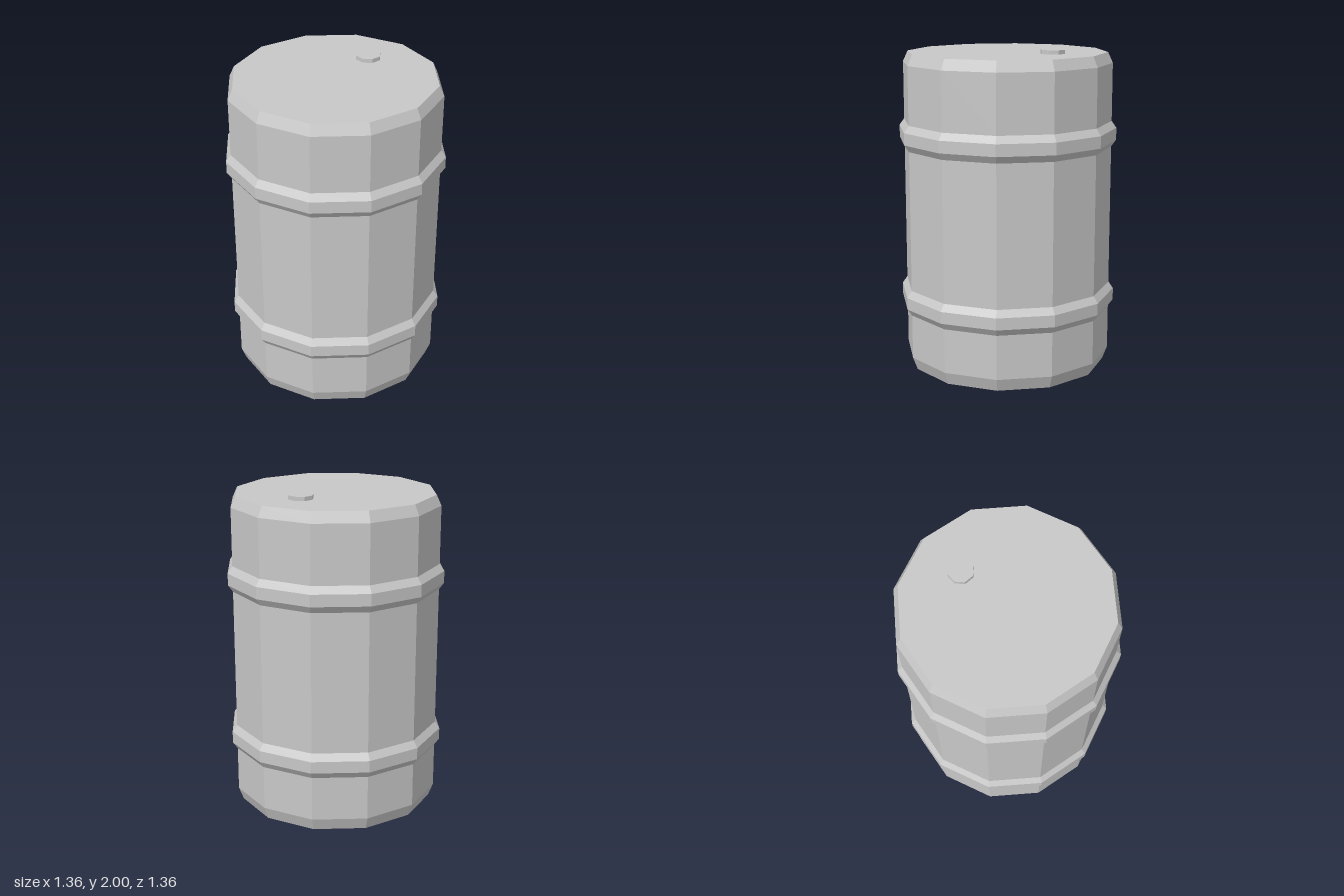
import * as THREE from 'three';

const SIDES = 12;

export function createModel() {
  const model = new THREE.Group();
  model.name = 'barrel';
  const metal = new THREE.MeshStandardMaterial({ color: 0xc8c8c8, flatShading: true });
  metal.name = 'grey metal';

  const add = (name, geometry, x = 0, y = 0, z = 0) => {
    const mesh = new THREE.Mesh(geometry, metal);
    mesh.name = name;
    mesh.position.set(x, y, z);
    model.add(mesh);
  };

  // Drum wall: chamfered ends and two raised hoops, as [radius, height]
  const hoop = (y) => [[0.65, y - 0.08], [0.68, y - 0.037], [0.68, y + 0.037], [0.65, y + 0.08]];
  const profile = [
    [0.62, 0], [0.65, 0.08],
    ...hoop(0.438), ...hoop(1.472),
    [0.65, 1.91], [0.62, 1.975],
  ].map(([r, y]) => new THREE.Vector2(r, y));
  add('drumWall', new THREE.LatheGeometry(profile, SIDES));

  // Flat ends, with corners lined up with the wall
  const lid = new THREE.CircleGeometry(0.62, SIDES).rotateX(-Math.PI / 2);
  add('lid', lid, 0, 1.975, 0);
  add('base', new THREE.CircleGeometry(0.62, SIDES).rotateX(Math.PI / 2));

  // Filler cap on the lid
  add('fillerCap', new THREE.CylinderGeometry(0.077, 0.077, 0.03, 8), 0.268, 1.985, -0.18);

  return model;
}
